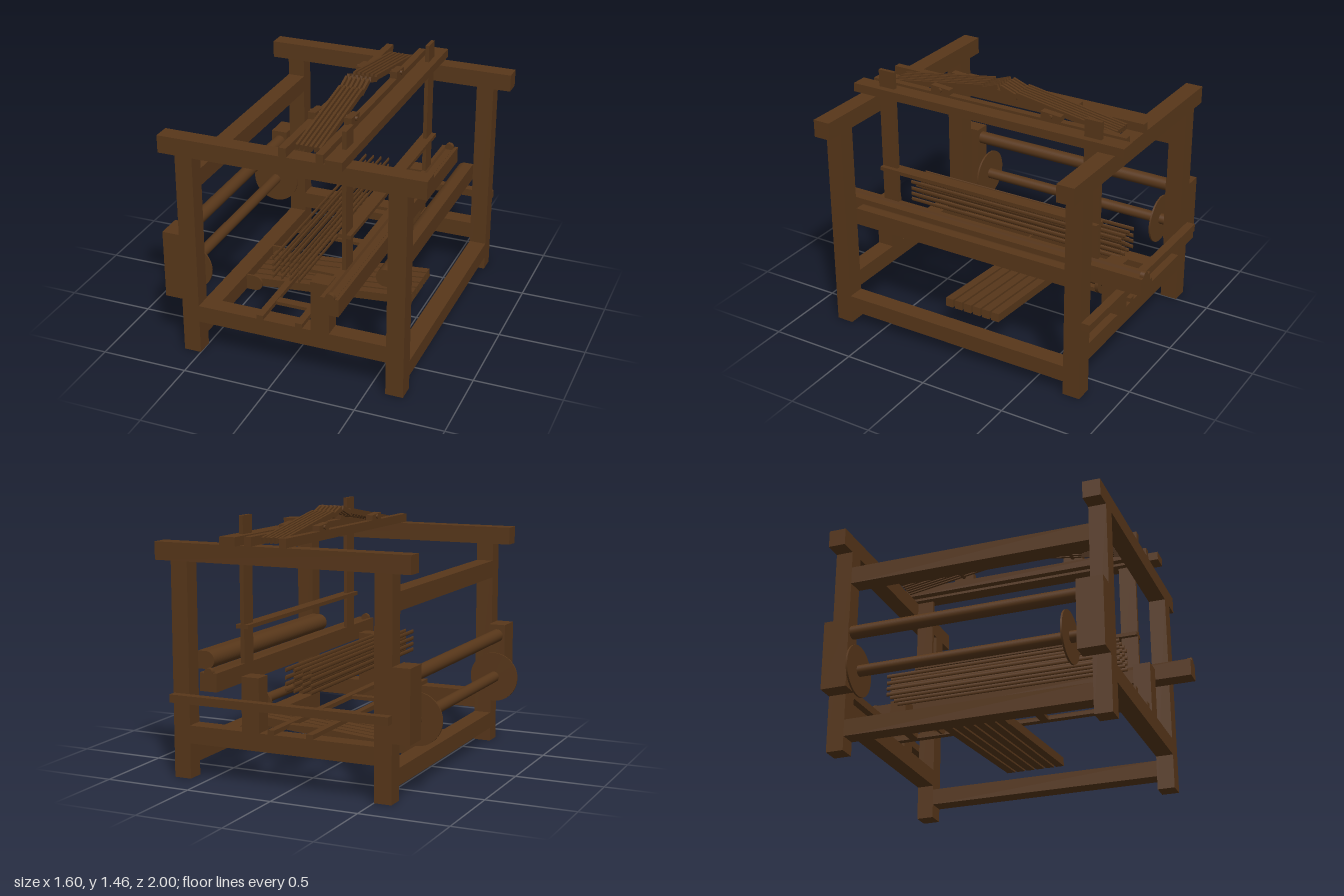
import * as THREE from 'three';

export function createModel() {
  const loom = new THREE.Group();
  const wood = new THREE.MeshStandardMaterial({ color: 0x58371a });

  const add = (name, geometry) => {
    const mesh = new THREE.Mesh(geometry, wood);
    mesh.name = name;
    loom.add(mesh);
    return mesh;
  };
  // box given by its extents
  const box = (name, x0, x1, y0, y1, z0, z1) => {
    const m = add(name, new THREE.BoxGeometry(x1 - x0, y1 - y0, z1 - z0));
    m.position.set((x0 + x1) / 2, (y0 + y1) / 2, (z0 + z1) / 2);
    return m;
  };
  // the same box at both ends of the z axis
  const pair = (name, x0, x1, y0, y1, z0, z1) => {
    box(name, x0, x1, y0, y1, z0, z1);
    box(name, x0, x1, y0, y1, -z1, -z0);
  };
  // round bar along z
  const rod = (name, x, y, r, z0, z1) => {
    const m = add(name, new THREE.CylinderGeometry(r, r, z1 - z0, 32).rotateX(Math.PI / 2));
    m.position.set(x, y, (z0 + z1) / 2);
    return m;
  };
  // profile in x and y, drawn out along z
  const prism = (name, shape, z0, z1) => {
    const m = add(name, new THREE.ExtrudeGeometry(shape, { depth: z1 - z0, bevelEnabled: false, curveSegments: 16 }));
    m.position.z = z0;
    return m;
  };
  // bar with one round edge; dir points to the round side
  const roundEdge = (flatX, dir, y, r, length) => {
    const s = new THREE.Shape();
    const cx = flatX + dir * (length - r);
    s.moveTo(flatX, y - r);
    s.lineTo(cx, y - r);
    s.absarc(cx, y, r, -Math.PI / 2, Math.PI / 2, dir < 0);
    s.lineTo(flatX, y + r);
    s.closePath();
    return s;
  };

  // main frame
  for (const x of [-0.6, 0.6]) {
    pair('post', x, x + 0.1, 0, 1.2, 0.7, 0.8);
    box('lowerCrossRail', x, x + 0.1, 0.08, 0.175, -0.7, 0.7);
  }
  pair('topBeam', -0.7, 0.8, 1.2, 1.3, 0.7, 0.8);
  pair('sideRail', -0.5, 0.6, 0.2, 0.3, 0.7, 0.8);
  box('backTopRail', -0.6, -0.5, 1.0, 1.1, -0.7, 0.7);
  box('sideBar', -0.6, 0.695, 0.43, 0.475, -0.85, -0.8);
  prism('breastBeam', roundEdge(0.6, -1, 0.65, 0.05, 0.1), -0.7, 0.7);

  // warp beam with flanges, and the back roller above it
  pair('beamBracket', -0.7, -0.6, 0.325, 0.725, 0.65, 0.8);
  rod('warpBeam', -0.655, 0.42, 0.032, -0.65, 0.65);
  rod('backRoller', -0.65, 0.66, 0.038, -0.65, 0.65);
  for (const z of [-0.605, 0.595]) rod('warpFlange', -0.655, 0.42, 0.145, z, z + 0.01);

  // cloth roller between short uprights
  pair('rollerUpright', 0.17, 0.275, 0.3, 0.6, 0.7, 0.8);
  rod('clothRoller', 0.225, 0.45, 0.026, -0.7, 0.7);
  for (const z of [-0.68, 0.66]) rod('rollerCollar', 0.225, 0.445, 0.061, z, z + 0.02);

  // low rack across the side rails
  box('rackStrip', -0.15, -0.11, 0.3, 0.325, -0.8, 0.8);
  box('rackStrip', 0.08, 0.12, 0.3, 0.325, -0.8, 0.8);
  for (const z of [-0.6, -0.2, 0.2, 0.6]) box('rackSlat', -0.11, 0.08, 0.3, 0.32, z - 0.025, z + 0.025);

  // shaft bars in four frames
  for (const x of [-0.09, -0.04, 0.01, 0.06]) {
    for (const y of [0.525, 0.56, 0.595, 0.637]) {
      const bar = rod('shaftBar', x, y, 0.005, -0.7, 0.7);
      bar.scale.y = 2.4;
    }
  }

  // treadles with their hinge
  for (const z of [-0.205, 0.175]) prism('hingePlate', roundEdge(-0.5, 1, 0.127, 0.047, 0.1), z, z + 0.012);
  rod('hingeRod', -0.455, 0.127, 0.017, -0.2, 0.18);
  for (let i = 0; i < 6; i++) {
    const z = 0.143 - i * 0.0605;
    const treadle = box('treadle', -0.475, 0.515, 0.143, 0.193, z - 0.024, z + 0.024);
    treadle.rotation.z = 0.084;
    treadle.position.y = 0.167;
  }

  // swinging beater: top bar, swords, reed cap, race and end stops
  box('beaterTop', 0.275, 0.37, 1.3, 1.35, -0.85, 0.85);
  pair('beaterSword', 0.31, 0.333, 0.6, 1.45, 0.6, 0.7);
  box('reedCap', 0.285, 0.36, 0.84, 0.862, -0.7, 0.7);
  const race = new THREE.Shape();
  race.moveTo(0.31, 0.55);
  for (const [x, y] of [[0.41, 0.55], [0.41, 0.65], [0.39, 0.65], [0.38, 0.635], [0.34, 0.635], [0.333, 0.65], [0.31, 0.65]]) race.lineTo(x, y);
  race.closePath();
  prism('beaterRace', race, -1, 1);
  const stop = new THREE.Shape();
  stop.moveTo(0.335, 0.62);
  stop.lineTo(0.385, 0.62);
  stop.lineTo(0.385, 0.65);
  stop.absarc(0.36, 0.65, 0.025, 0, Math.PI, false);
  stop.closePath();
  for (const z of [-1, 0.975]) prism('endStop', stop, z, z + 0.025);

  // lever supports on top
  for (const x of [0, 0.205]) {
    box('leverStrip', x, x + 0.042, 1.3, 1.35, -0.8, 0.8);
    for (const z of [-0.35, 0.35]) {
      const s = new THREE.Shape();
      s.moveTo(-0.06, 1.35);
      s.lineTo(0.06, 1.35);
      s.lineTo(0.06, 1.38);
      s.lineTo(-0.06, 1.39);
      s.closePath();
      const block = add('pivotBlock', new THREE.ExtrudeGeometry(s, { depth: 0.042, bevelEnabled: false }));
      block.rotation.y = Math.PI / 2;
      block.position.set(x, 0, z);
    }
  }

  // two rows of six levers, each on its pivot rod
  for (const side of [-1, 1]) {
    const pivot = add('pivotRod', new THREE.CylinderGeometry(0.012, 0.012, 0.27, 16).rotateZ(Math.PI / 2));
    pivot.position.set(0.125, 1.37, side * 0.35);
    for (let i = 0; i < 6; i++) {
      const x = 0.062 + i * 0.0255;
      const lever = add('lever', new THREE.BoxGeometry(0.014, 0.032, 0.61));
      lever.position.set(x, 1.372, side * 0.405);
      lever.rotation.x = side * 0.16;
      const tip = add('leverTip', new THREE.BoxGeometry(0.014, 0.028, 0.11));
      tip.position.set(x, 1.425, side * 0.06);
      tip.rotation.x = side * 0.35;
    }
  }
  return loom;
}
